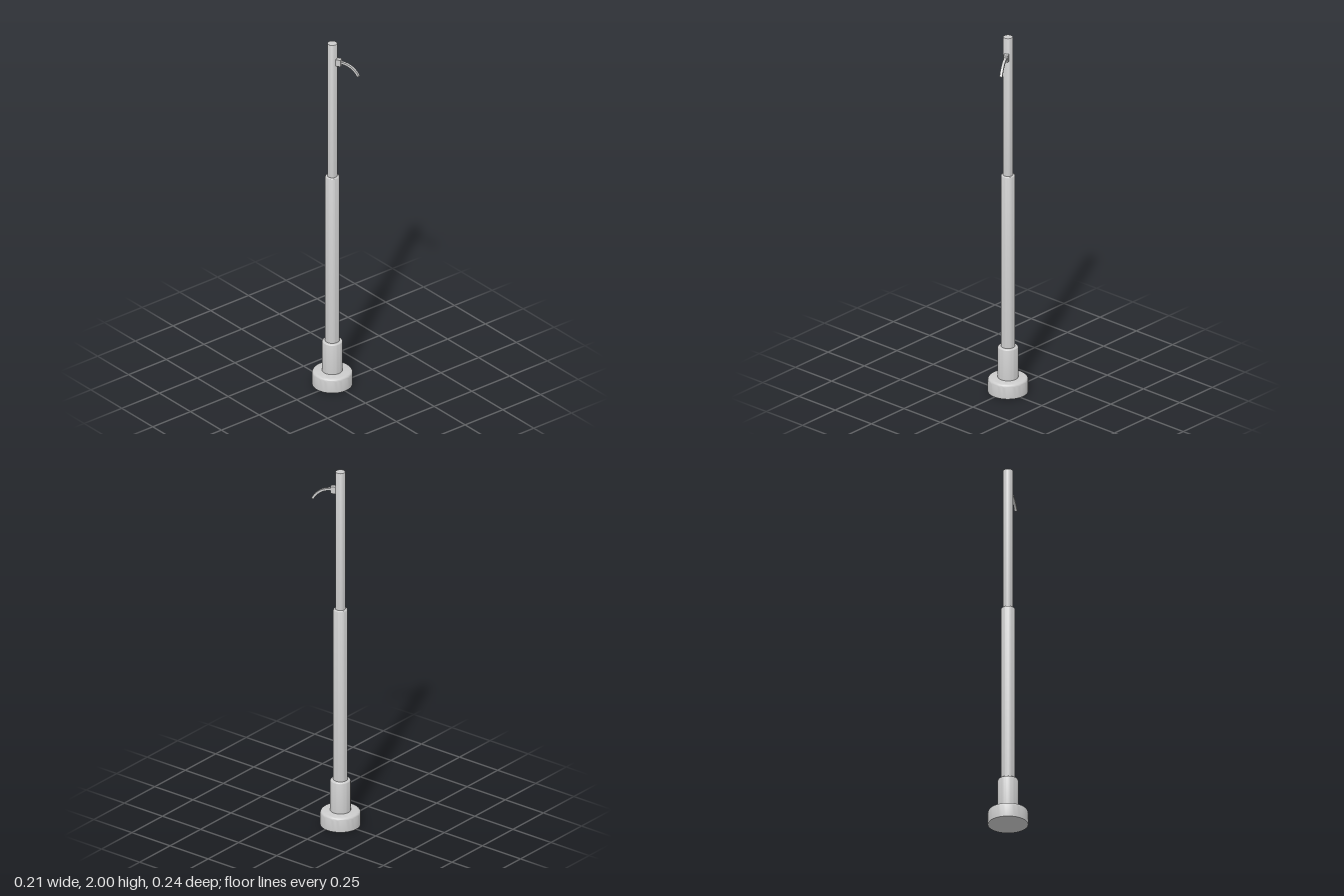
import * as THREE from 'three';
import { toCreasedNormals } from 'three/addons/utils/BufferGeometryUtils.js';

const material = new THREE.MeshStandardMaterial({ color: 0xcccccc });

function addMesh(parent, name, geometry) {
  const mesh = new THREE.Mesh(toCreasedNormals(geometry, 0.6), material);
  mesh.name = name;
  parent.add(mesh);
  return mesh;
}

// Upright cylinder with a rounded upper rim
function roundedPost(radius, bottom, top, bevel) {
  const profile = [new THREE.Vector2(0, bottom), new THREE.Vector2(radius, bottom)];
  for (let i = 0; i <= 5; i++) {
    const a = (i / 5) * Math.PI / 2;
    profile.push(new THREE.Vector2(
      radius - bevel + bevel * Math.cos(a),
      top - bevel + bevel * Math.sin(a)
    ));
  }
  profile.push(new THREE.Vector2(0, top));
  return new THREE.LatheGeometry(profile, 48);
}

export function createModel() {
  const model = new THREE.Group();
  model.name = 'pole';

  // The pole axis sits slightly behind centre to balance the hook
  const axis = new THREE.Group();
  axis.name = 'poleAxis';
  axis.position.z = -0.018;
  model.add(axis);

  // Base and the three telescoping sections
  addMesh(axis, 'base', roundedPost(0.104, 0, 0.08, 0.016));
  addMesh(axis, 'sleeve', roundedPost(0.053, 0.07, 0.255, 0.01));
  addMesh(axis, 'lowerPole', roundedPost(0.037, 0.24, 1.222, 0.008));
  addMesh(axis, 'upperPole', roundedPost(0.0255, 1.2, 2, 0.002));

  // Hook assembly: local +x points outward from the pole
  const hook = new THREE.Group();
  hook.name = 'hook';
  hook.rotation.y = -1.084;
  hook.position.y = 1.895;
  axis.add(hook);

  const block = addMesh(hook, 'hookBracket', new THREE.BoxGeometry(0.034, 0.038, 0.024));
  block.position.set(0.033, 0, 0);

  // Curved arm: a band between two arcs, bending downward
  const radius = 0.108, half = 0.006, sweep = 1.12;
  const shape = new THREE.Shape();
  shape.absarc(0.048, -radius, radius + half, Math.PI / 2, Math.PI / 2 - sweep, true);
  shape.absarc(0.048, -radius, radius - half, Math.PI / 2 - sweep, Math.PI / 2, false);
  shape.closePath();
  const arm = new THREE.ExtrudeGeometry(shape, { depth: 0.014, bevelEnabled: false, curveSegments: 14 });
  arm.translate(0, 0.002, -0.007);
  addMesh(hook, 'hookArm', arm);

  return model;
}
